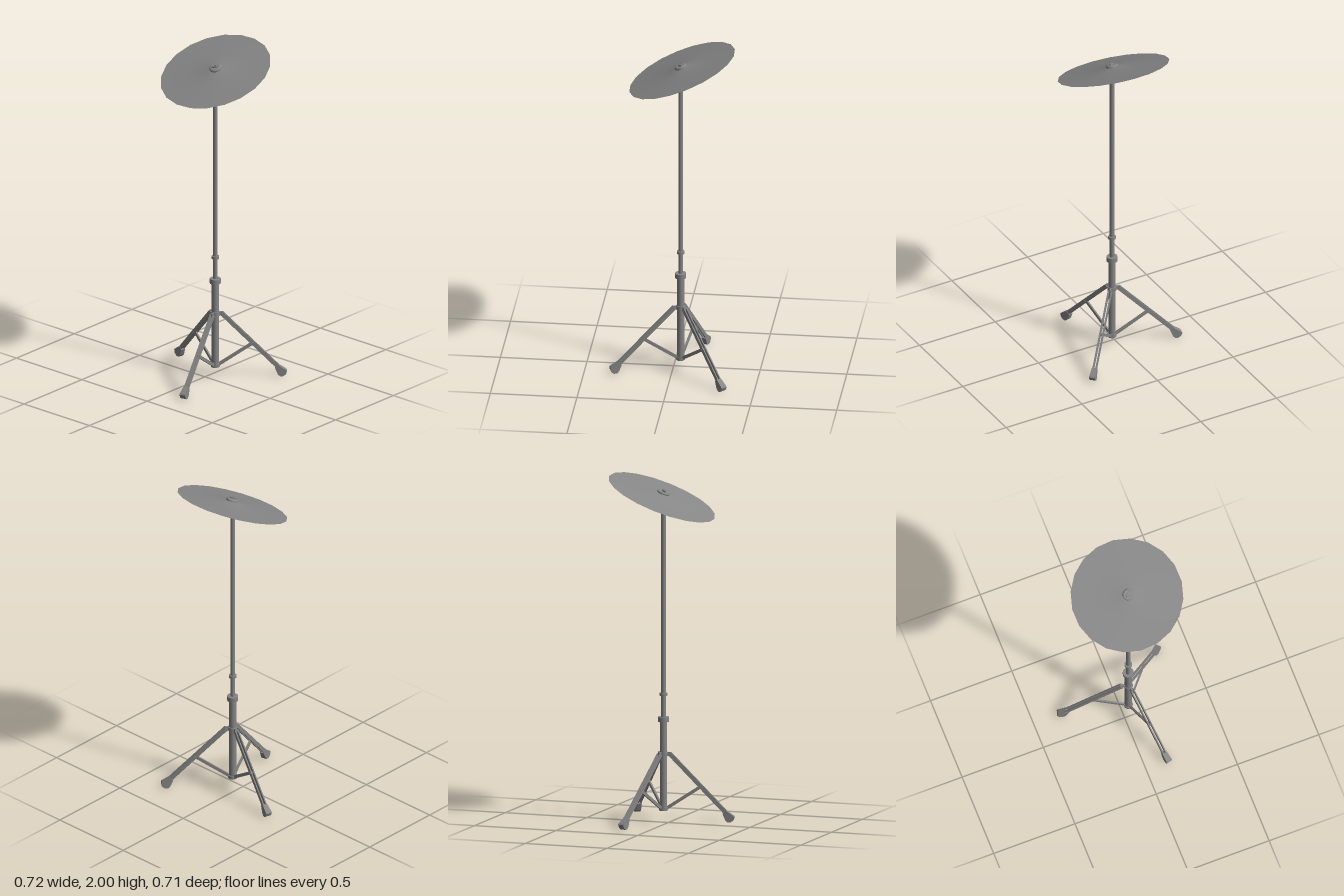
import * as THREE from 'three';

const mat = new THREE.MeshStandardMaterial({ color: 0x868686, side: THREE.DoubleSide });
const flatMat = new THREE.MeshStandardMaterial({ color: 0x868686, flatShading: true });

function add(parent, name, geometry, material = mat) {
  const mesh = new THREE.Mesh(geometry, material);
  mesh.name = name;
  parent.add(mesh);
  return mesh;
}

// Upright cylinder between two heights
function post(parent, name, r, y0, y1, sides = 16) {
  const mesh = add(parent, name, new THREE.CylinderGeometry(r, r, y1 - y0, sides));
  mesh.position.y = (y0 + y1) / 2;
  return mesh;
}

// Straight bar in the x-y plane from a to b, shifted sideways to z
function bar(parent, name, a, b, height, width, z = 0) {
  const dx = b[0] - a[0], dy = b[1] - a[1];
  const mesh = add(parent, name, new THREE.BoxGeometry(Math.hypot(dx, dy), height, width), flatMat);
  mesh.position.set((a[0] + b[0]) / 2, (a[1] + b[1]) / 2, z);
  mesh.rotation.z = Math.atan2(dy, dx);
  return mesh;
}

// Rubber foot: side profile extruded, narrowing towards the leg
function footGeometry() {
  const profile = [[0.342, 0.05], [0.358, 0.012], [0.37, 0], [0.388, 0], [0.404, 0.012], [0.411, 0.03], [0.405, 0.038], [0.362, 0.068]];
  const shape = new THREE.Shape(profile.map(p => new THREE.Vector2(...p)));
  const g = new THREE.ExtrudeGeometry(shape, { depth: 1, bevelEnabled: false });
  const p = g.attributes.position;
  for (let i = 0; i < p.count; i++) {
    const t = Math.min(1, (p.getX(i) - 0.342) / 0.05);
    p.setZ(i, (p.getZ(i) - 0.5) * (0.026 + 0.01 * t));
  }
  g.computeVertexNormals();
  return g;
}

function makeLeg(angle) {
  const leg = new THREE.Group();
  leg.name = 'tripodLeg';
  for (const s of [-1, 1]) {
    bar(leg, 'legRail', [0.036, 0.392], [0.375, 0.04], 0.023, 0.007, s * 0.0085);
  }
  bar(leg, 'legHinge', [0.01, 0.39], [0.044, 0.39], 0.022, 0.011);
  bar(leg, 'brace', [0.015, 0.073], [0.214, 0.203], 0.018, 0.01);
  const pin = add(leg, 'bracePin', new THREE.CylinderGeometry(0.006, 0.006, 0.028, 8));
  pin.rotation.x = Math.PI / 2;
  pin.position.set(0.214, 0.203, 0);
  add(leg, 'foot', footGeometry(), flatMat);
  leg.rotation.y = -angle;
  return leg;
}

function makeCymbal() {
  const cymbal = new THREE.Group();
  cymbal.name = 'cymbal';

  // Thin shallow cone with 20 sides
  const profile = [[0.006, 0.028], [0.03, 0.025], [0.06, 0.019], [0.11, 0.012], [0.2, 0.005], [0.327, 0]];
  const phase = THREE.MathUtils.degToRad(12.5);
  add(cymbal, 'disc', new THREE.LatheGeometry(profile.map(p => new THREE.Vector2(...p)), 20, phase));

  // Felt pads above and below the disc
  const fittings = new THREE.Group();
  fittings.name = 'fittings';
  fittings.position.set(0.006, 0, -0.003);
  cymbal.add(fittings);
  const pad = [[0, 0.037], [0.029, 0.037], [0.029, 0.037], [0.036, 0.031], [0.036, 0.031], [0.036, 0.018]];
  add(fittings, 'upperPad', new THREE.LatheGeometry(pad.map(p => new THREE.Vector2(...p)), 20));
  post(fittings, 'lowerPad', 0.034, 0.004, 0.018, 20);

  // Wing nut with a bored centre
  const outline = [[-0.02, -0.005], [-0.007, -0.01], [0.009, -0.01], [0.02, -0.004],
    [0.02, 0.005], [0.007, 0.01], [-0.009, 0.01], [-0.02, 0.004]];
  const shape = new THREE.Shape(outline.map(p => new THREE.Vector2(...p)));
  shape.holes.push(new THREE.Path().absarc(0, 0, 0.005, 0, Math.PI * 2, true));
  const g = new THREE.ExtrudeGeometry(shape, { depth: 0.008, bevelEnabled: false, curveSegments: 6 });
  g.rotateX(-Math.PI / 2);
  const nut = add(fittings, 'wingNut', g, flatMat);
  nut.position.y = 0.037;
  nut.rotation.y = 0.6;

  cymbal.position.set(0.035, 1.88, -0.053);
  cymbal.rotation.x = Math.atan2(0.24, 0.6);
  return cymbal;
}

export function createModel() {
  const model = new THREE.Group();
  model.name = 'cymbalStand';

  const stand = new THREE.Group();
  stand.name = 'stand';
  stand.position.set(0.04, 0, -0.045);
  model.add(stand);

  // Telescoping pole with clamps
  post(stand, 'lowerTube', 0.021, 0.068, 0.6);
  post(stand, 'baseHub', 0.026, 0.062, 0.083);
  post(stand, 'legCollar', 0.026, 0.378, 0.402);
  post(stand, 'heightClamp', 0.032, 0.577, 0.606);
  post(stand, 'upperTube', 0.0135, 0.6, 1.895);
  post(stand, 'memoryLock', 0.022, 0.729, 0.745);

  // Three legs at equal angles
  for (let i = 0; i < 3; i++) {
    stand.add(makeLeg(THREE.MathUtils.degToRad(76 + i * 120)));
  }

  model.add(makeCymbal());
  return model;
}
